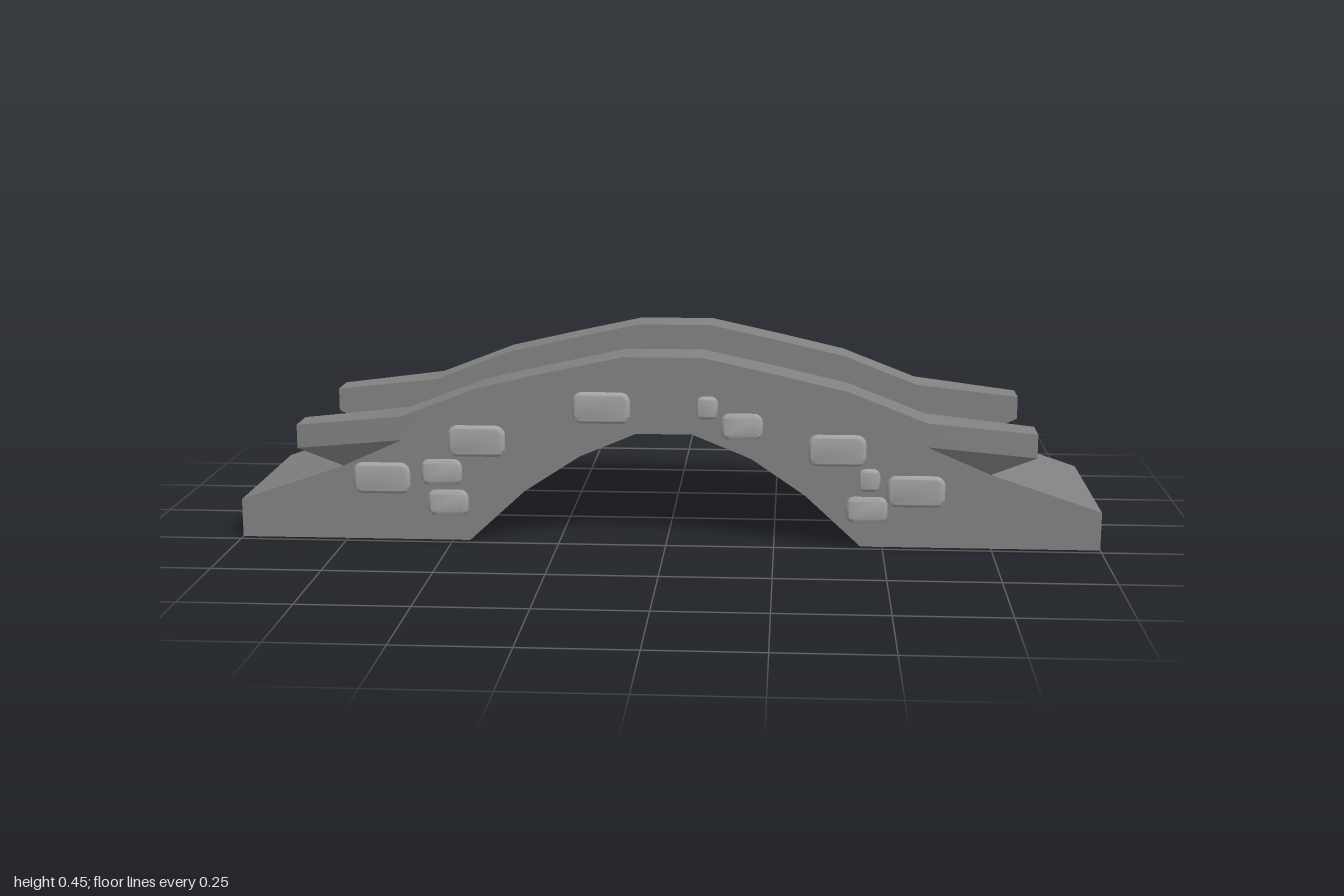
import * as THREE from 'three';
import { toCreasedNormals } from 'three/addons/utils/BufferGeometryUtils.js';

const masonry = new THREE.MeshStandardMaterial({ color: 0x828282 });
const paleStone = new THREE.MeshStandardMaterial({ color: 0xa2a2a2 });
const HALF_WIDTH = 0.23;   // side walls of the bridge
const RAIL_INNER = 0.173;  // inner face of the parapets
const SHIFT = -0.005;      // crown sits slightly off centre

// Right half of the parapet: x, deck height, ledge height, ledge z, rail underside, rail top, outer z
const half = [
  [0.09, 0.344, 0.394, 0.23, 0.394, 0.449, 0.284],
  [0.26, 0.313, 0.357, 0.23, 0.357, 0.412, 0.284],
  [0.42, 0.277, 0.32, 0.23, 0.32, 0.375, 0.284],
  [0.6, 0.225, 0.25, 0.23, 0.25, 0.305, 0.284],
  [0.75, 0.175, 0.175, 0.23, 0.233, 0.288, 0.268],
  [0.85, 0.222, 0.222, 0.258, 0.222, 0.277, 0.258],
];

function add(parent, name, geometry, material) {
  const mesh = new THREE.Mesh(geometry, material);
  mesh.name = name;
  parent.add(mesh);
  return mesh;
}

// Arched body: side profile pulled across the width
function bodyGeometry() {
  const deck = half.slice(0, 5);
  const top = [[1, 0], [1, 0.09],
    ...deck.map(([x, y]) => [x + SHIFT, y]).reverse(),
    ...deck.map(([x, y]) => [-x + SHIFT, y]), [-1, 0.09], [-1, 0]];
  const arch = [[-0.46, 0], [-0.33, 0.12], [-0.2, 0.205], [-0.07, 0.26],
    [0.06, 0.26], [0.195, 0.205], [0.32, 0.12], [0.45, 0]];
  const shape = new THREE.Shape([...top, ...arch].map(([x, y]) => new THREE.Vector2(x, y)));
  const geometry = new THREE.ExtrudeGeometry(shape, { depth: HALF_WIDTH * 2, bevelEnabled: false });
  geometry.translate(0, 0, -HALF_WIDTH);
  return toCreasedNormals(geometry, 0.5);
}

// Parapet: overhanging rail and its wall, lofted through cross-sections
function parapetGeometry() {
  const stations = [...half.map(([x, ...rest]) => [-x, ...rest]).reverse(), ...half];
  const n = 6;
  const positions = [];
  const index = [];
  for (const [x, deck, ledge, ledgeZ, under, top, outer] of stations) {
    positions.push(
      x, top, outer,
      x, top, RAIL_INNER,
      x, deck, RAIL_INNER,
      x, deck, HALF_WIDTH,
      x, ledge, ledgeZ,
      x, under, outer,
    );
  }
  // skin, with the diagonals mirrored about the crown
  for (let i = 0; i < stations.length - 1; i++) {
    for (let j = 0; j < n; j++) {
      const a = i * n + j;
      const c = i * n + (j + 1) % n;
      const b = a + n;
      const d = c + n;
      if (i < half.length) index.push(a, b, d, a, d, c);
      else index.push(a, b, c, b, d, c);
    }
  }
  // end caps
  const last = (stations.length - 1) * n;
  for (let j = 1; j < n - 1; j++) {
    index.push(0, j, j + 1, last, last + j + 1, last + j);
  }
  const geometry = new THREE.BufferGeometry();
  geometry.setAttribute('position', new THREE.Float32BufferAttribute(positions, 3));
  geometry.setIndex(index);
  return toCreasedNormals(geometry, 0.4);
}

// Facing stone: rounded block with a soft cushion edge
function stoneGeometry(w, h) {
  const bevel = 0.009;
  const x = w / 2 - bevel;
  const y = h / 2 - bevel;
  const r = Math.min(x, y) * 0.5;
  const shape = new THREE.Shape();
  shape.absarc(x - r, y - r, r, 0, Math.PI / 2);
  shape.absarc(-x + r, y - r, r, Math.PI / 2, Math.PI);
  shape.absarc(-x + r, -y + r, r, Math.PI, Math.PI * 1.5);
  shape.absarc(x - r, -y + r, r, Math.PI * 1.5, Math.PI * 2);
  const geometry = new THREE.ExtrudeGeometry(shape, {
    depth: 0.004, bevelThickness: 0.008, bevelSize: bevel, bevelSegments: 4, curveSegments: 4,
  });
  geometry.translate(0, 0, -0.003); // front face slightly proud of the wall
  return toCreasedNormals(geometry, 0.9);
}

export function createModel() {
  const model = new THREE.Group();
  model.name = 'stoneBridge';

  add(model, 'archBody', bodyGeometry(), masonry);

  const parapet = parapetGeometry();
  for (const side of [1, -1]) {
    const mesh = add(model, side > 0 ? 'frontParapet' : 'backParapet', parapet, masonry);
    mesh.rotation.y = side > 0 ? 0 : Math.PI;
    mesh.position.x = SHIFT;
  }

  // Three stone sizes scattered over both side walls
  const sizes = {
    large: stoneGeometry(0.134, 0.074),
    medium: stoneGeometry(0.096, 0.062),
    small: stoneGeometry(0.05, 0.054),
  };
  const stones = [
    ['large', -0.665, 0.147], ['medium', -0.524, 0.163], ['medium', -0.51, 0.09],
    ['large', -0.441, 0.238], ['large', -0.15, 0.32], ['small', 0.094, 0.323],
    ['medium', 0.174, 0.28], ['large', 0.393, 0.227], ['small', 0.468, 0.158],
    ['medium', 0.463, 0.088], ['large', 0.575, 0.133],
  ];
  for (const side of [1, -1]) {
    const wall = new THREE.Group();
    wall.name = side > 0 ? 'frontStones' : 'backStones';
    for (const [size, x, y] of stones) {
      const stone = add(wall, size + 'Stone', sizes[size], paleStone);
      stone.position.set(x, y, side * HALF_WIDTH);
      stone.rotation.y = side > 0 ? 0 : Math.PI;
    }
    model.add(wall);
  }
  return model;
}
